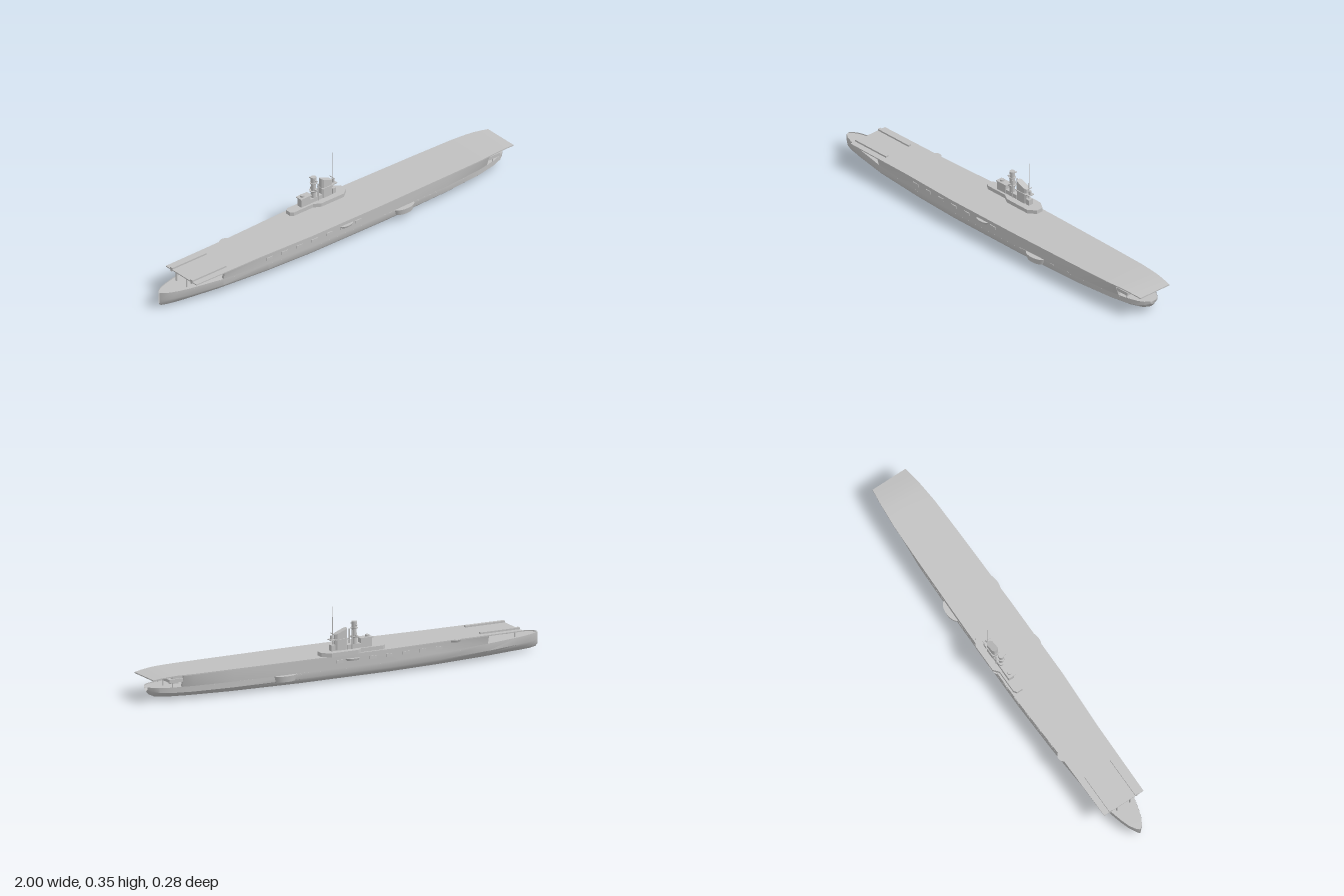
import * as THREE from 'three';
import { toCreasedNormals } from 'three/addons/utils/BufferGeometryUtils.js';

const grey = new THREE.MeshStandardMaterial({ color: 0xc0c0c0, side: THREE.DoubleSide });
grey.name = 'ship grey';

// Skin a row of cross-sections: stations = [[x, [[z, y], ...]], ...]
function loft(stations, { closed = true, caps = true, crease = 0.5 } = {}) {
  const pos = [], idx = [], n = stations[0][1].length, m = stations.length;
  for (const [x, ring] of stations) for (const [z, y] of ring) pos.push(x, y, z);
  for (let i = 0; i < m - 1; i++) {
    for (let j = 0; j < (closed ? n : n - 1); j++) {
      const k = (j + 1) % n, a = i * n + j, b = i * n + k, c = b + n, d = a + n;
      idx.push(a, b, d, b, c, d);
    }
  }
  if (caps) for (let j = 1; j < n - 1; j++) {
    const e = (m - 1) * n;
    idx.push(0, j + 1, j, e, e + j, e + j + 1);
  }
  const g = new THREE.BufferGeometry();
  g.setAttribute('position', new THREE.Float32BufferAttribute(pos, 3));
  g.setIndex(idx);
  return toCreasedNormals(g.toNonIndexed(), crease);
}

// Flat plate from an [x, z] outline between two heights
function slab(points, y0, y1) {
  const shape = new THREE.Shape(points.map(([x, z]) => new THREE.Vector2(x, -z)));
  const g = new THREE.ExtrudeGeometry(shape, { depth: y1 - y0, bevelEnabled: false });
  return g.rotateX(-Math.PI / 2).translate(0, y0, 0);
}

// Linear lookup in a table of [x, value]
function lookup(table, x) {
  for (let i = 1; i < table.length; i++) {
    const [x0, v0] = table[i - 1], [x1, v1] = table[i];
    if (x <= x1) return v0 + (v1 - v0) * (x - x0) / (x1 - x0);
  }
  return table[table.length - 1][1];
}

export function createModel() {
  const ship = new THREE.Group();
  ship.name = 'carrier';
  const add = (name, geometry, parent = ship) => {
    const mesh = new THREE.Mesh(geometry, grey);
    mesh.name = name;
    parent.add(mesh);
    return mesh;
  };
  const box = (name, x0, x1, y0, y1, z0, z1, parent) =>
    add(name, new THREE.BoxGeometry(x1 - x0, y1 - y0, z1 - z0)
      .translate((x0 + x1) / 2, (y0 + y1) / 2, (z0 + z1) / 2), parent);
  const tube = (name, x, z, y0, y1, r0, r1 = r0, parent = ship, sides = 16) =>
    add(name, new THREE.CylinderGeometry(r1, r0, y1 - y0, sides)
      .translate(x, (y0 + y1) / 2, z), parent);

  // Hull: x, half width, bottom fullness, keel height, top height
  const lines = [
    [-1, 0.004, 0.5, 0.02, 0.08], [-0.99, 0.016, 0.5, 0.011, 0.08],
    [-0.96, 0.034, 0.5, 0.006, 0.08], [-0.92, 0.047, 0.5, 0.004, 0.079],
    [-0.87, 0.06, 0.52, 0.003, 0.078], [-0.7, 0.092, 0.6, 0.002, 0.076],
    [-0.45, 0.107, 0.7, 0.001, 0.066], [-0.2, 0.114, 0.75, 0, 0.06],
    [0.25, 0.115, 0.75, 0, 0.06], [0.6, 0.108, 0.65, 0.001, 0.06],
    [0.8, 0.092, 0.52, 0.002, 0.06], [0.9, 0.073, 0.45, 0.004, 0.06],
    [0.95, 0.056, 0.42, 0.01, 0.06], [0.975, 0.04, 0.42, 0.022, 0.06],
    [0.99, 0.018, 0.42, 0.04, 0.06],
  ];
  const hull = lines.map(([x, w, f, k, t]) => {
    const half = [[w, t], [w * 0.995, k + (t - k) * 0.55], [w * (0.6 + f * 0.4), k + (t - k) * 0.33],
      [w * f, k + (t - k) * 0.11], [w * f * 0.5, k + (t - k) * 0.04]];
    return [x, [...half, [0, k], ...half.map(([z, y]) => [-z, y]).reverse()]];
  });
  add('hull', loft(hull, { closed: false, caps: false, crease: 0.7 }));
  add('lowerDeck', loft(lines.map(([x, w, , , t]) => [x, [[-w, t - 0.005], [w, t - 0.005]]]),
    { closed: false, caps: false }));

  // Flight deck, dipping over the overhanging end
  const deckWidth = [[-0.87, 0.106], [-0.5, 0.11], [-0.2, 0.121], [0.2, 0.121],
    [0.6, 0.115], [0.8, 0.11], [0.92, 0.1], [1, 0.089]];
  const deckTop = [[-0.87, 0.12], [0.88, 0.12], [0.94, 0.117], [1, 0.109]];
  const deckX = [-0.87, -0.5, -0.2, 0.2, 0.6, 0.8, 0.88, 0.92, 0.96, 1];
  add('flightDeck', loft(deckX.map((x) => {
    const w = lookup(deckWidth, x), t = lookup(deckTop, x);
    return [x, [[w, t], [w, t - 0.005], [-w, t - 0.005], [-w, t]]];
  })));

  // Hangar walls, with the hangar open at both ends
  const hullWidth = lines.map((l) => [l[0], l[1]]), hullTop = lines.map((l) => [l[0], l[4]]);
  const wallWidth = (x) => lookup(deckWidth, x) - 0.005;
  const wallX = [-0.7, -0.45, -0.2, 0.2, 0.6, 0.8, 0.85];
  for (const s of [1, -1]) {
    add('hangarWall', loft(wallX.map((x) => {
      const w = wallWidth(x), b = lookup(hullWidth, x), y = lookup(hullTop, x);
      return [x, [[s * w, 0.116], [s * b, y], [s * (b - 0.012), y], [s * (w - 0.012), 0.116]]];
    })));

    // Shallow openings marked along the hangar sides
    for (let i = 0; i < 7; i++) {
      const x = -0.46 + i * 0.085, z = s * (wallWidth(x) + 0.0005);
      box('sideShutter', x, x + 0.035, 0.084, 0.098, z - 0.003, z + 0.003);
    }

    // Rounded gun platforms low on the hull and galleries at hangar level
    const low = add('gunPlatform', new THREE.CylinderGeometry(1, 0.86, 0.027, 28));
    low.scale.set(0.058, 1, 0.03);
    low.position.set(0.34, 0.0465, s * 0.108);
    const gallery = add('sideGallery', new THREE.CylinderGeometry(1, 0.8, 0.01, 24));
    gallery.scale.set(0.037, 1, 0.016);
    gallery.position.set(0, 0.094, s * 0.115);

    // Raised deck rails and the end supports below the deck
    box('deckRail', -0.87, -0.67, 0.119, 0.128, s * 0.07 - 0.008, s * 0.07 + 0.008);
    box('aftPost', -0.87, -0.864, 0.074, 0.117, s * 0.035 - 0.003, s * 0.035 + 0.003);
    box('aftGirder', -0.87, -0.7, 0.108, 0.116, s * 0.07 - 0.004, s * 0.07 + 0.004);
    box('endBracket', 0.85, 0.915, 0.086, 0.102, s * 0.078 - 0.014, s * 0.078 + 0.014);
    box('hangingBox', 0.86, 0.9, 0.075, 0.088, s * 0.058 - 0.011, s * 0.058 + 0.011);
    box('endPost', 0.89, 0.894, 0.055, 0.09, s * 0.07 - 0.002, s * 0.07 + 0.002);
  }
  box('endBeam', 0.85, 0.92, 0.088, 0.102, -0.092, 0.092);
  box('deckSupport', 0.84, 0.9, 0.1, 0.116, -0.085, 0.085);
  box('centrePost', 0.9, 0.904, 0.055, 0.09, -0.002, 0.002);
  tube('deckEdgePlatform', -0.53, -0.092, 0.108, 0.119, 0.026, 0.031, ship, 24);

  // Island on the right edge of the deck
  const island = new THREE.Group();
  island.name = 'island';
  island.position.z = -0.088;
  ship.add(island);
  add('islandBase', slab([[-0.17, -0.014], [-0.155, -0.024], [-0.045, -0.024], [-0.02, -0.045],
    [0.115, -0.045], [0.155, -0.02], [0.155, 0.016], [0.12, 0.043], [-0.01, 0.043],
    [-0.045, 0.024], [-0.155, 0.024], [-0.17, 0.014]], 0.119, 0.138), island);

  // Aft deckhouse with a director on its roof
  box('aftHouse', -0.105, -0.05, 0.138, 0.178, -0.014, 0.014, island);
  box('aftRoof', -0.11, -0.045, 0.178, 0.183, -0.018, 0.018, island);
  tube('aftDirector', -0.088, 0, 0.183, 0.192, 0.01, 0.01, island);
  box('linkHouse', -0.05, 0.02, 0.138, 0.158, -0.013, 0.013, island);

  // Round control tower with lookout platforms
  tube('tower', -0.022, 0, 0.138, 0.24, 0.013, 0.011, island);
  tube('towerHead', -0.022, 0, 0.236, 0.261, 0.013, 0.013, island);
  tube('towerPlatform', -0.022, 0, 0.228, 0.232, 0.016, 0.017, island);
  box('rangefinder', -0.025, -0.019, 0.245, 0.249, -0.027, 0.027, island);
  tube('towerCollar', -0.022, 0, 0.188, 0.193, 0.018, 0.02, island);
  for (const s of [1, -1]) {
    tube('lookout', -0.022, s * 0.016, 0.193, 0.203, 0.005, 0.005, island, 10);
    tube('towerLeg', -0.005, s * 0.014, 0.138, 0.225, 0.003, 0.003, island, 8);
  }

  // Funnel with a sloping top
  const funnel = (x0, x1, w) => [[w, 0], [w, 1], [-w, 1], [-w, 0]].map(([z, e]) => [e ? x1 : x0, z]);
  const funnelGeo = slab([[0.018, 0.009], [0.026, 0.015], [0.07, 0.015], [0.08, 0.008],
    [0.08, -0.008], [0.07, -0.015], [0.026, -0.015], [0.018, -0.009]], 0.138, 0.236);
  const p = funnelGeo.attributes.position;
  for (let i = 0; i < p.count; i++) if (p.getY(i) > 0.2) p.setY(i, 0.236 - (p.getX(i) - 0.018) * 0.4);
  funnelGeo.computeVertexNormals();
  add('funnel', funnelGeo, island);
  add('funnelBand', slab(funnel(0.016, 0.084, 0.019), 0.186, 0.19), island);

  // Forward platforms and the pole mast
  box('forwardHouse', 0.08, 0.1, 0.138, 0.165, -0.013, 0.013, island);
  box('forwardPlatform', 0.075, 0.104, 0.186, 0.19, -0.016, 0.016, island);
  tube('forwardLookout', 0.093, 0, 0.19, 0.208, 0.007, 0.007, island);
  tube('mast', 0.088, 0, 0.138, 0.346, 0.0022, 0.001, island, 8);
  box('mastYard', 0.087, 0.089, 0.214, 0.217, -0.018, 0.018, island);
  return ship;
}
